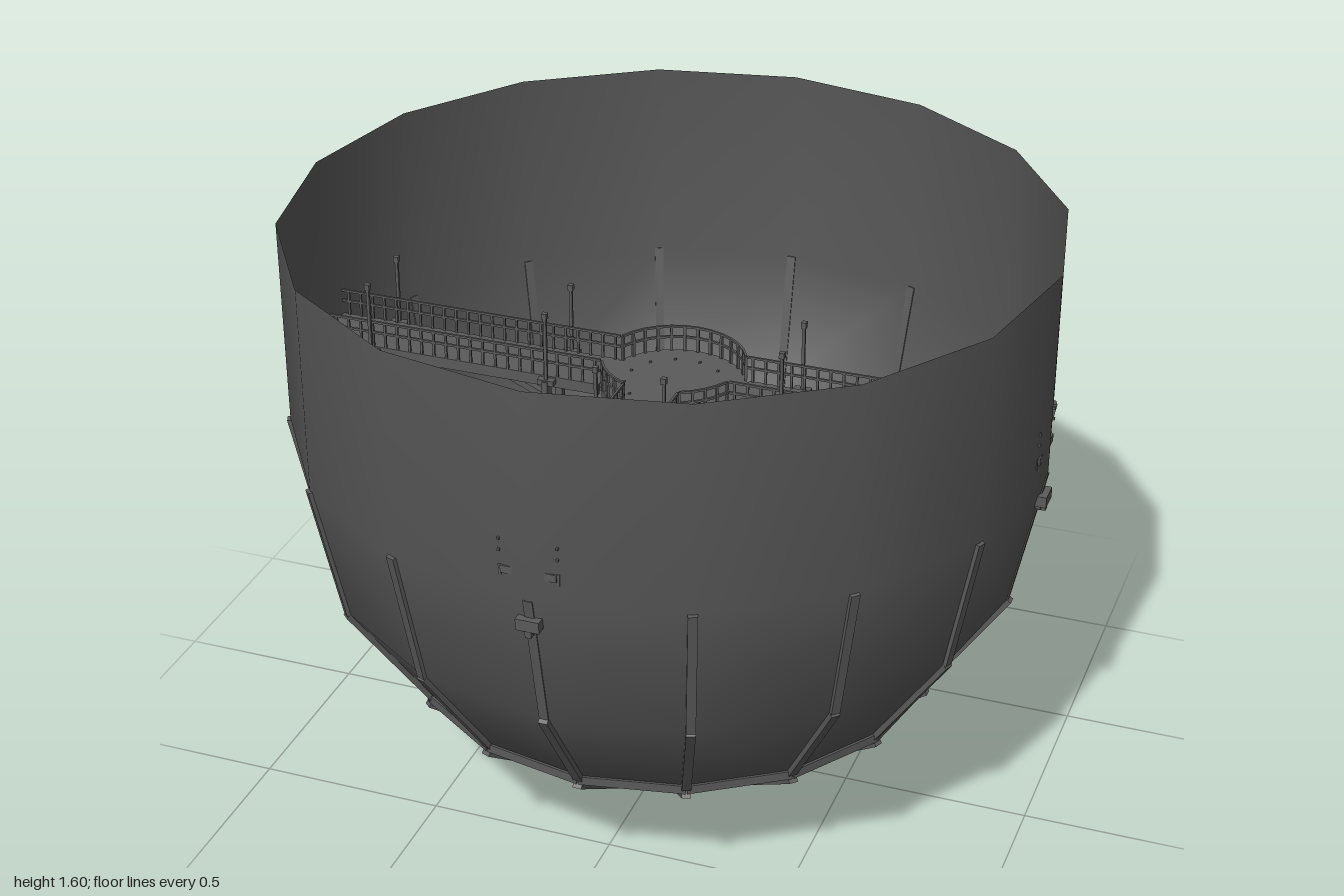
import * as THREE from 'three';
import { mergeGeometries } from 'three/addons/utils/BufferGeometryUtils.js';

const SIDES = 16;
const STEP = (Math.PI * 2) / SIDES;
// Bowl profile as [radius, height], from the base to the rim
const PROFILE = [[0, 0.06], [0.12, 0.06], [0.38, 0.14], [0.7, 0.355], [0.915, 0.67], [0.993, 1.05], [0.993, 1.6]];
const DECK = 1.13;
const HALF = 0.07;
const HUB = 0.19;

// Box with its centre at x, y, z
function box(w, h, d, x, y, z) {
  return new THREE.BoxGeometry(w, h, d).translate(x, y, z);
}

// Bar between two points of the x/y plane; extends "below" and "above" the line
function bar(a, b, width, below, above, z = 0) {
  const dx = b[0] - a[0], dy = b[1] - a[1];
  return new THREE.BoxGeometry(Math.hypot(dx, dy), below + above, width)
    .translate(0, (above - below) / 2, 0)
    .rotateZ(Math.atan2(dy, dx))
    .translate((a[0] + b[0]) / 2, (a[1] + b[1]) / 2, z);
}

export function createModel() {
  const model = new THREE.Group();
  model.name = 'bowlWithWalkway';
  const shellGrey = new THREE.MeshStandardMaterial({ color: 0x565656, side: THREE.DoubleSide });
  shellGrey.name = 'shell grey';
  const steelGrey = new THREE.MeshStandardMaterial({ color: 0x5a5a5a });
  steelGrey.name = 'steel grey';

  function add(parent, name, geometry, material = steelGrey) {
    const mesh = new THREE.Mesh(geometry, material);
    mesh.name = name;
    parent.add(mesh);
    return mesh;
  }

  // Sixteen-sided bowl, smooth shaded
  add(model, 'shell', new THREE.LatheGeometry(PROFILE.map(([r, y]) => new THREE.Vector2(r, y)), SIDES), shellGrey);

  // Short open collar at the base
  const collar = [[0.1, 0.065], [0.1, 0], [0.125, 0], [0.125, 0.065]].map(([r, y]) => new THREE.Vector2(r, y));
  const collarMesh = add(model, 'baseCollar', new THREE.LatheGeometry(collar, 32).toNonIndexed(), shellGrey);
  collarMesh.geometry.computeVertexNormals();

  // Radial ribs following the profile, deeper towards the base
  const ribDepth = [0, 0.025, 0.03, 0.012, 0.008];
  for (let i = 0; i < SIDES; i++) {
    const parts = [];
    for (let s = 1; s <= 4; s++) {
      // The four ribs on the main axes sit nearly flush in the upper course
      const out = s === 4 && i % 4 === 0 ? 0.001 : ribDepth[s];
      parts.push(bar(PROFILE[s], PROFILE[s + 1], 0.024, out, 0.006));
    }
    add(model, 'rib', mergeGeometries(parts).rotateY(i * STEP));
  }

  // Hoops at the two lower breaks of the bowl
  for (const [r, y, h] of [[0.7, 0.355, 0.024], [0.38, 0.14, 0.024]]) {
    const parts = [];
    for (let i = 0; i < SIDES; i++) {
      parts.push(box(0.024, h, 2 * r * Math.sin(STEP / 2), r * Math.cos(STEP / 2), y - 0.004, 0)
        .rotateY((i + 0.5) * STEP));
    }
    add(model, 'hoop', mergeGeometries(parts));
  }

  const walkway = new THREE.Group();
  walkway.name = 'walkway';
  model.add(walkway);

  // Round platform in the middle, with bolt heads
  add(walkway, 'hubPlatform', new THREE.CylinderGeometry(HUB, HUB, 0.022, 24).translate(0, DECK - 0.011, 0));
  const bolts = [];
  for (let i = 0; i < 12; i++) {
    const a = (i * Math.PI) / 6 + 0.2;
    bolts.push(box(0.006, 0.004, 0.006, Math.cos(a) * 0.13, DECK + 0.002, Math.sin(a) * 0.13));
  }
  add(walkway, 'hubBolts', mergeGeometries(bolts));

  // Curved railings between the arms (angles run from +x towards +z)
  for (const [from, to, n] of [[24, 66, 4], [114, 156, 4], [204, 336, 12]]) {
    const parts = [];
    const at = (k) => THREE.MathUtils.degToRad(from + ((to - from) * k) / n);
    for (let k = 0; k <= n; k++) {
      const a = at(k);
      parts.push(box(0.007, 0.07, 0.007, HUB - 0.004, DECK + 0.035, 0).rotateY(-a));
      if (k === n) continue;
      const half = (at(k + 1) - a) / 2;
      for (const h of [0.04, 0.07]) {
        parts.push(box(0.006, 0.006, 2 * HUB * Math.sin(half), (HUB - 0.004) * Math.cos(half), DECK + h, 0)
          .rotateY(-a - half));
      }
    }
    add(walkway, 'hubRailing', mergeGeometries(parts));
  }

  // Three arms, modelled along +x and turned to -x and +z
  for (const turn of [0, Math.PI, -Math.PI / 2]) {
    const arm = new THREE.Group();
    arm.name = 'walkwayArm';
    arm.rotation.y = turn;
    walkway.add(arm);

    add(arm, 'armDeck', box(0.85, 0.02, HALF * 2, 0.56, DECK - 0.01, 0));

    const rails = [], lamps = [];
    for (const side of [-1, 1]) {
      const z = side * (HALF + 0.003);
      for (let x = 0.19; x < 0.98; x += 0.035) rails.push(box(0.006, 0.07, 0.006, x, DECK + 0.035, z));
      for (const h of [0.04, 0.07]) rails.push(box(0.81, 0.006, 0.006, 0.58, DECK + h, z));
      rails.push(box(0.8, 0.03, 0.008, 0.58, DECK - 0.015, z));
      // Tall posts clamped to the outside of the railing
      for (const x of [0.32, 0.82]) {
        const pz = side * (HALF + 0.02);
        lamps.push(box(0.008, 0.21, 0.008, x, DECK + 0.075, pz));
        lamps.push(box(0.045, 0.015, 0.02, x, DECK - 0.01, pz));
        lamps.push(box(0.015, 0.05, 0.03, x, DECK - 0.03, pz));
        lamps.push(box(0.014, 0.016, 0.014, x, DECK + 0.18, pz));
      }
    }
    add(arm, 'armRailing', mergeGeometries(rails));
    add(arm, 'posts', mergeGeometries(lamps));

    // Girder, hangers and braces beneath the deck
    add(arm, 'armSupport', mergeGeometries([
      bar([0.3, 1.01], [0.985, 0.97], 0.04, 0.012, 0.012),
      bar([0.32, 1.0], [0.32, DECK - 0.01], 0.02, 0.01, 0.01),
      bar([0.82, 0.98], [0.82, DECK - 0.01], 0.02, 0.01, 0.01),
      bar([0.32, 1.01], [0.56, DECK - 0.015], 0.02, 0.009, 0.009),
      bar([0.56, DECK - 0.015], [0.82, 0.98], 0.02, 0.009, 0.009),
    ]));
    // Anchor showing through the wall
    add(arm, 'wallAnchor', mergeGeometries([
      box(0.05, 0.03, 0.06, 0.975, 0.985, 0),
      box(0.05, 0.05, 0.016, 0.97, 0.975, 0),
    ]));
  }
  return model;
}
